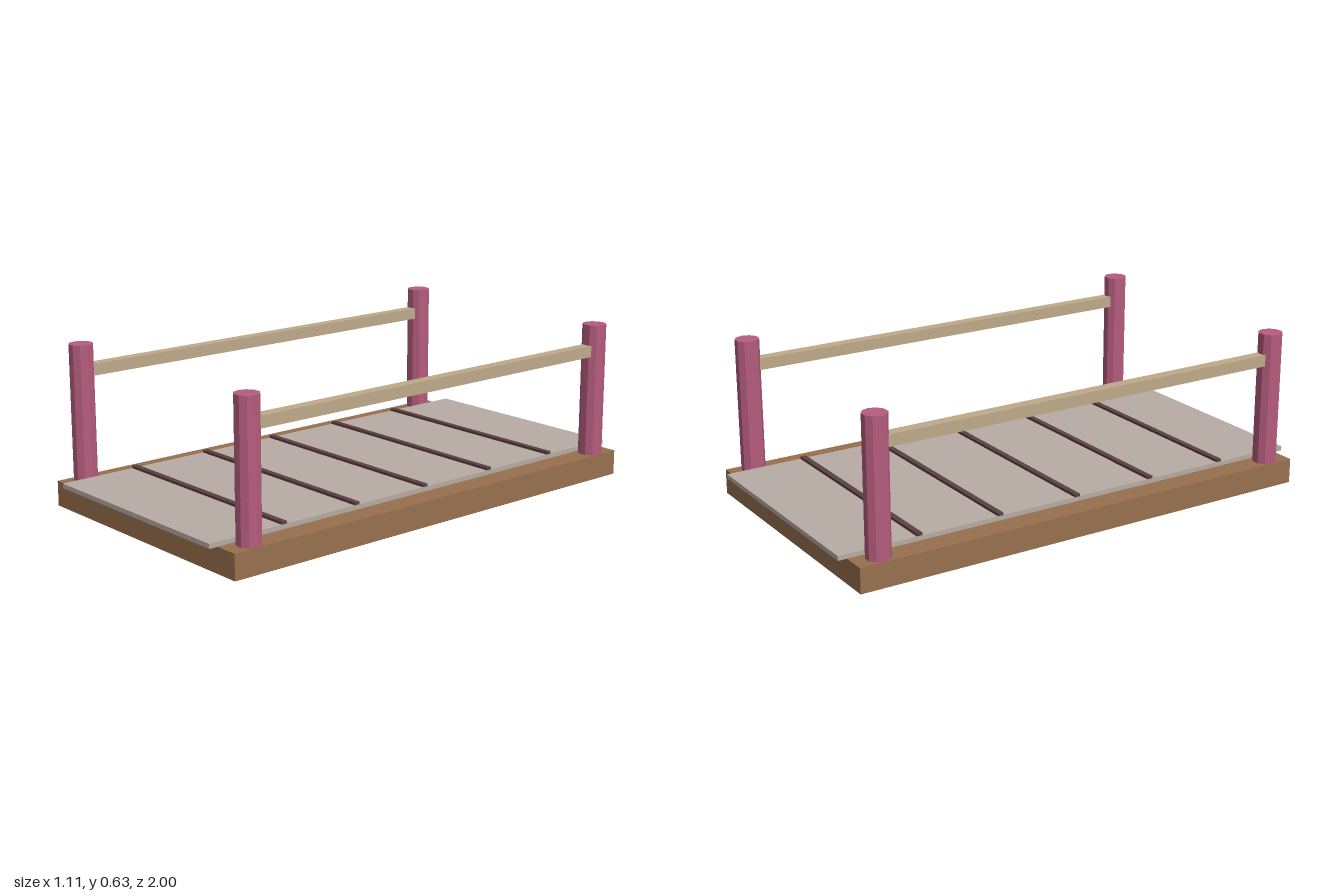
import * as THREE from 'three';

const material = (name, color) => {
  const m = new THREE.MeshStandardMaterial({ color, flatShading: true });
  m.name = name;
  return m;
};

export function createModel() {
  const model = new THREE.Group();
  model.name = 'footbridge';

  const wood = material('brown wood', 0x98704e);
  const grey = material('warm grey deck', 0xb8aca5);
  const dark = material('dark seam', 0x5c4040);
  const pink = material('rose post', 0xb65c7e);
  const tan = material('tan rail', 0xbfaa8a);

  const add = (name, geometry, mat, x, y, z) => {
    const mesh = new THREE.Mesh(geometry, mat);
    mesh.name = name;
    mesh.position.set(x, y, z);
    model.add(mesh);
  };

  // Base slab and the overhanging walkway on it
  add('base', new THREE.BoxGeometry(1.108, 0.098, 1.93), wood, 0, 0.049, 0);
  add('deck', new THREE.BoxGeometry(0.92, 0.018, 2), grey, 0, 0.107, 0);

  // Raised cross strips
  const strip = new THREE.BoxGeometry(0.92, 0.01, 0.023);
  for (let i = -2; i <= 2; i++) add('crossStrip', strip, dark, 0, 0.121, i * 0.338);

  // Ten-sided posts and a handrail on each side
  const post = new THREE.CylinderGeometry(0.047, 0.047, 0.529, 10, 1, false, Math.PI / 2);
  const rail = new THREE.BoxGeometry(0.045, 0.045, 1.66);
  for (const side of [-1, 1]) {
    for (const end of [-1, 1]) add('post', post, pink, side * 0.507, 0.3625, end * 0.868);
    add('handrail', rail, tan, side * 0.507, 0.523, 0);
  }
  return model;
}
